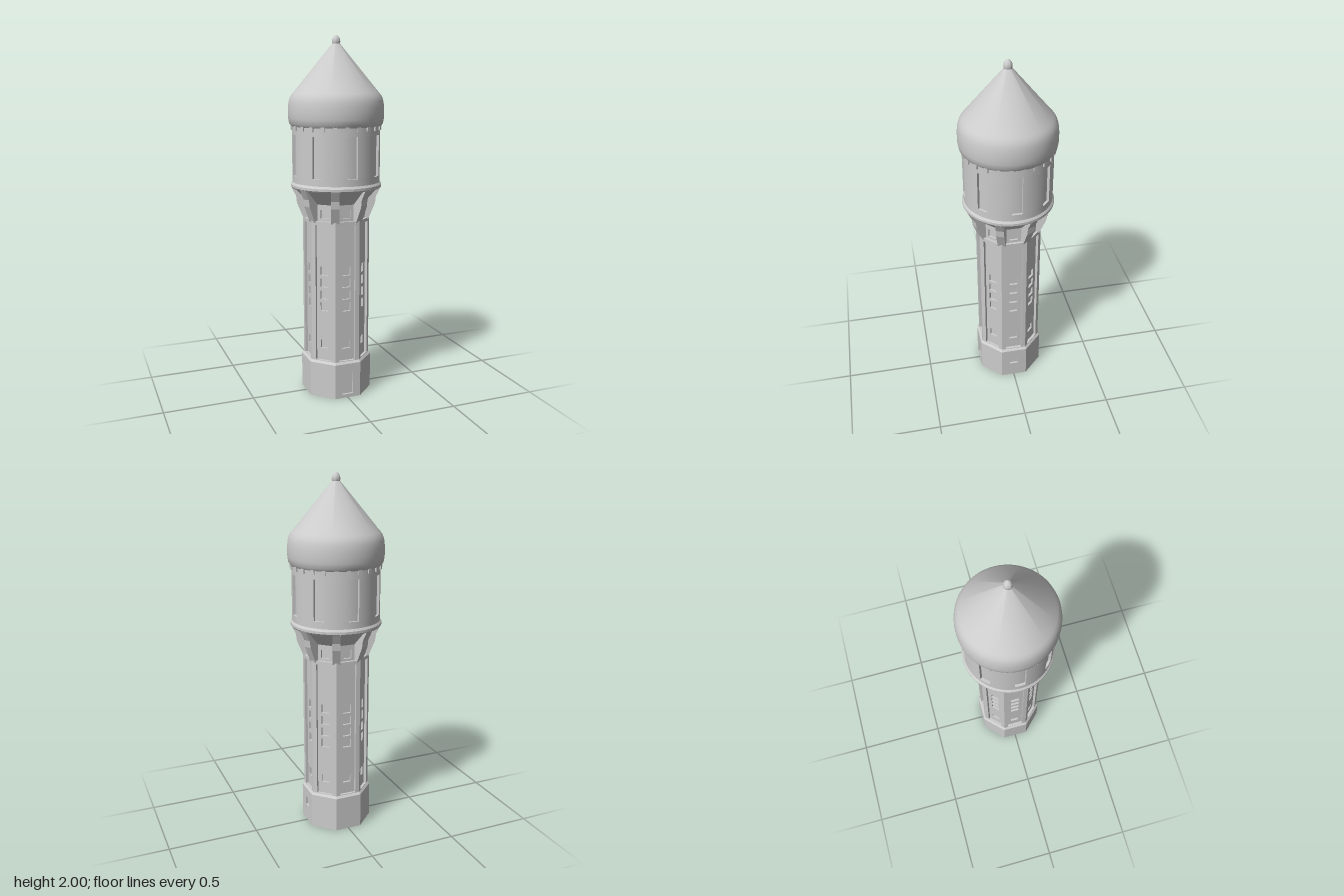
import * as THREE from 'three';
import { toCreasedNormals } from 'three/addons/utils/BufferGeometryUtils.js';

const stone = new THREE.MeshStandardMaterial({ color: 0xcccccc });
stone.name = 'stone';

const EIGHTH = Math.PI / 4;
const HALF = Math.PI / 8;

function addMesh(parent, name, geometry) {
  const mesh = new THREE.Mesh(geometry, stone);
  mesh.name = name;
  parent.add(mesh);
  return mesh;
}

// Octagonal prism from [apothem, y] points, flat sides facing the axes
function octagon(points) {
  const pts = points.map(([a, y]) => new THREE.Vector2(a / Math.cos(HALF), y));
  const geo = new THREE.LatheGeometry(pts, 8, HALF).toNonIndexed();
  geo.computeVertexNormals();
  return geo;
}

// Round turned part from [radius, y] points with crisp edges at sharp bends
function turned(points) {
  const pts = points.map(([r, y]) => new THREE.Vector2(r, y));
  return toCreasedNormals(new THREE.LatheGeometry(pts, 64), 0.5);
}

// Wall plate for one octagon side, with holes given as [width, y0, y1]
function wallPlate(apothem, depth, y0, y1, holes) {
  const w = apothem * Math.tan(HALF);
  const rect = (T, h, a, b) => new T([[-h, a], [h, a], [h, b], [-h, b]].map(([x, y]) => new THREE.Vector2(x, y)));
  const shape = rect(THREE.Shape, w, y0, y1);
  for (const [width, a, b] of holes) shape.holes.push(rect(THREE.Path, width / 2, a, b));
  return new THREE.ExtrudeGeometry(shape, { depth, bevelEnabled: false }).translate(0, 0, apothem - depth);
}

// Curved wall piece between two radii, two angles and two heights
function ringSector(ri, ro, a0, a1, y0, y1) {
  const shape = new THREE.Shape();
  shape.absarc(0, 0, ro, a0, a1, false);
  shape.absarc(0, 0, ri, a1, a0, true);
  const geo = new THREE.ExtrudeGeometry(shape, { depth: y1 - y0, bevelEnabled: false, curveSegments: 10 });
  return toCreasedNormals(geo.rotateX(-Math.PI / 2).translate(0, y0, 0), 0.5);
}

export function createModel() {
  const tower = new THREE.Group();
  tower.name = 'tower';

  // Plinth with door in front and one small window at the side
  addMesh(tower, 'plinthCore', octagon([
    [0, 0], [0.183, 0], [0.171, 0.001], [0.171, 0.2], [0.183, 0.2], [0.171, 0.213], [0.14, 0.213],
  ]));
  // Shaft core forms the backs of the window recesses
  addMesh(tower, 'shaftCore', octagon([[0.145, 0.2], [0.145, 1.19]]));

  const windows = [[0.283, 0.331], [0.501, 0.549], [0.569, 0.617], [0.638, 0.686], [0.706, 0.754], [1.024, 1.072]]
    .map(([a, b]) => [0.048, a, b]);
  const bracketShape = new THREE.Shape([
    [0.14, 0.99], [0.18, 1.0], [0.217, 1.09], [0.222, 1.13], [0.25, 1.185], [0.14, 1.185],
  ].map(([x, y]) => new THREE.Vector2(x, y)));
  const bracketGeo = new THREE.ExtrudeGeometry(bracketShape, { depth: 0.044, bevelEnabled: false }).translate(0, 0, -0.022);

  const panelGeo = wallPlate(0.157, 0.012, 0.2, 1.19, windows);
  const frameGeo = wallPlate(0.172, 0.015, 0.2, 1.01, [[0.094, 0.215, 0.99]]);
  for (let i = 0; i < 8; i++) {
    const side = new THREE.Group();
    side.name = 'towerSide';
    side.rotation.y = i * EIGHTH;
    tower.add(side);
    const openings = i === 0 ? [[0.064, 0.02, 0.145]] : i === 2 ? [[0.048, 0.093, 0.143]] : [];
    addMesh(side, 'plinthWall', wallPlate(0.183, 0.012, 0, 0.2, openings));
    addMesh(side, 'windowPanel', panelGeo);
    addMesh(side, 'panelFrame', frameGeo);
    addMesh(side, 'cornerBracket', bracketGeo).rotation.y = HALF;
  }

  // Flared underside and rim carrying the drum
  addMesh(tower, 'flare', octagon([[0.15, 1.1], [0.157, 1.1], [0.225, 1.182]]));
  addMesh(tower, 'drumRim', turned([
    [0.14, 1.18], [0.246, 1.18], [0.251, 1.187], [0.251, 1.2], [0.242, 1.212], [0.2, 1.212],
  ]));

  // Drum with eight tall recessed windows
  addMesh(tower, 'drumCore', turned([[0.228, 1.2], [0.228, 1.54]]));
  addMesh(tower, 'drumLowerBand', turned([[0.242, 1.2], [0.242, 1.25], [0.225, 1.25]]));
  addMesh(tower, 'drumUpperBand', turned([[0.225, 1.472], [0.242, 1.472], [0.242, 1.54]]));
  const gap = Math.asin(0.029 / 0.242);
  const pierGeo = ringSector(0.225, 0.242, gap, EIGHTH - gap, 1.25, 1.472);
  for (let i = 0; i < 8; i++) addMesh(tower, 'drumPier', pierGeo).rotation.y = i * EIGHTH;

  // Small blocks below the eaves
  const blockGeo = new THREE.BoxGeometry(0.02, 0.03, 0.014).translate(0, 1.512, 0.243);
  for (let i = 0; i < 24; i++) addMesh(tower, 'eavesBlock', blockGeo).rotation.y = (i + 0.5) * Math.PI / 12;

  // Bulging roof rising to a cone
  addMesh(tower, 'roof', turned([
    [0.23, 1.515], [0.247, 1.518], [0.257, 1.532], [0.262, 1.56], [0.263, 1.59], [0.262, 1.62],
    [0.258, 1.65], [0.25, 1.675], [0.237, 1.693], [0.22, 1.712], [0.018, 1.958],
  ]));
  addMesh(tower, 'finial', turned([
    [0.014, 1.94], [0.021, 1.952], [0.023, 1.965], [0.021, 1.978], [0.014, 1.99], [0.007, 1.997], [0, 2],
  ]));
  return tower;
}
